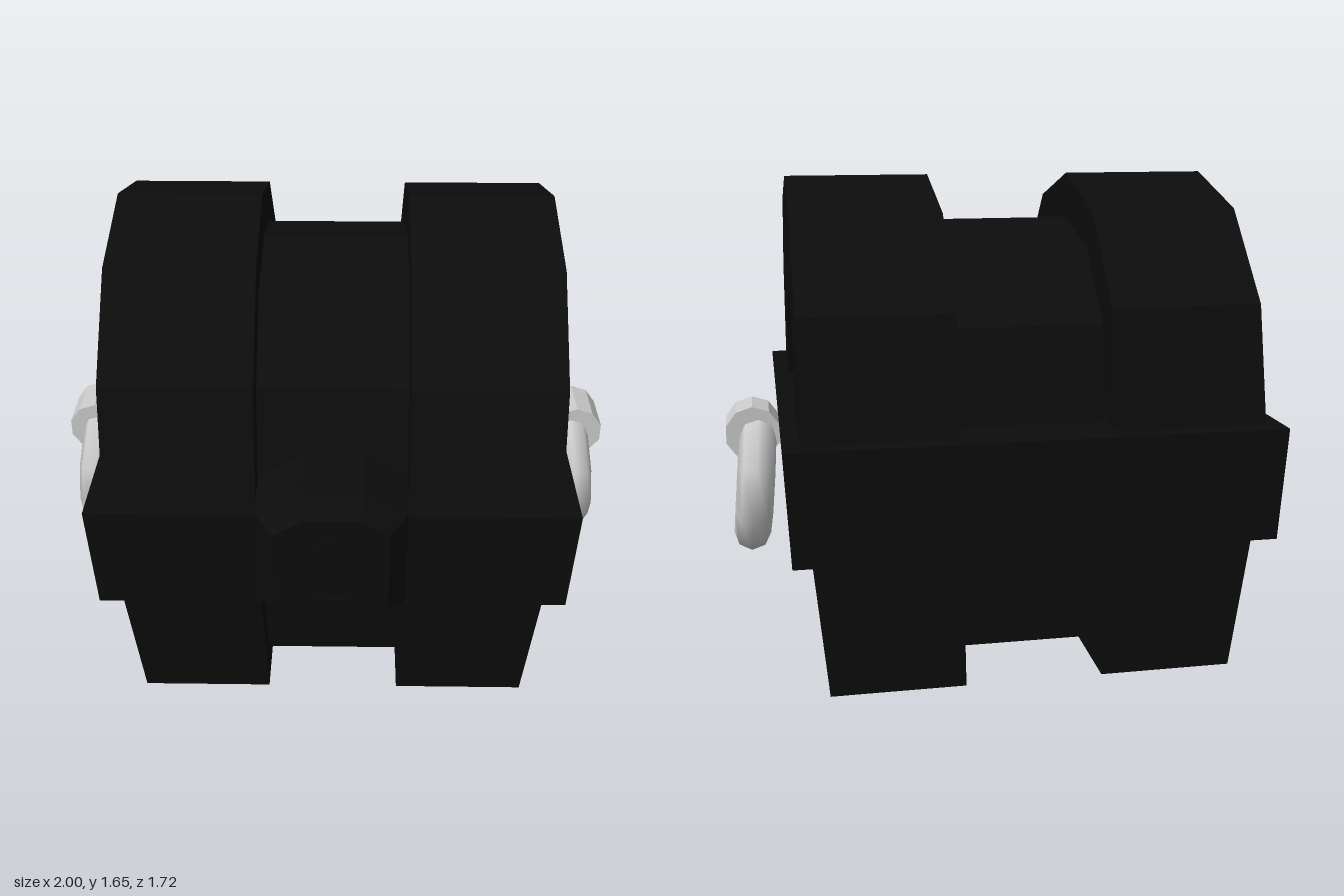
import * as THREE from 'three';

const dark = new THREE.MeshStandardMaterial({ color: 0x0c0c0c, flatShading: true });
const grey = new THREE.MeshStandardMaterial({ color: 0xcccccc });
const greyFlat = new THREE.MeshStandardMaterial({ color: 0xcccccc, flatShading: true });

function add(parent, name, geometry, material) {
  const mesh = new THREE.Mesh(geometry, material);
  mesh.name = name;
  parent.add(mesh);
  return mesh;
}

// Box between two corners, narrowed towards the chest's vertical axis:
// full size at yTop, scaled by `bottom` at yBottom.
function taperedBox([x0, x1], [y0, y1], [z0, z1], yBottom, yTop, bottom) {
  const g = new THREE.BoxGeometry(x1 - x0, y1 - y0, z1 - z0);
  g.translate((x0 + x1) / 2, (y0 + y1) / 2, (z0 + z1) / 2);
  const p = g.attributes.position;
  for (let i = 0; i < p.count; i++) {
    const s = THREE.MathUtils.mapLinear(p.getY(i), yBottom, yTop, bottom, 1);
    p.setX(i, p.getX(i) * s);
    p.setZ(i, p.getZ(i) * s);
  }
  g.computeVertexNormals();
  return g;
}

// Mirrors half an arch [z, y] (foot to crown) into a full one
function arch(half) {
  const mirrored = half.slice(0, -1).reverse().map(([z, y]) => [-z, y]);
  return [...half, ...mirrored].map(([z, y]) => new THREE.Vector2(z, y));
}

// Extrudes a side profile along x, from x0 to x1
function extrudeAlongX(points, x0, x1) {
  const g = new THREE.ExtrudeGeometry(new THREE.Shape(points), { depth: x1 - x0, bevelEnabled: false });
  return g.rotateY(Math.PI / 2).translate(x0, 0, 0);
}

function buildBase(chest) {
  add(chest, 'baseBody', taperedBox([-0.62, 0.62], [0.1, 0.5], [-0.62, 0.62], 0, 0.49, 0.935), dark);
  for (const sx of [-1, 1]) for (const sz of [-1, 1]) {
    const xs = sx > 0 ? [0.25, 0.735] : [-0.735, -0.25];
    const zs = sz > 0 ? [0.37, 0.735] : [-0.735, -0.37];
    add(chest, 'cornerLeg', taperedBox(xs, [0, 0.5], zs, 0, 0.49, 0.935), dark);
  }
  add(chest, 'rimBand', taperedBox([-0.817, 0.817], [0.49, 0.873], [-0.815, 0.815], 0.49, 0.873, 0.977), dark);
}

function buildLid(chest) {
  const outer = arch([[0.755, 0.86], [0.66, 1.26], [0.38, 1.55], [0, 1.655]]);
  const middle = arch([[0.62, 0.86], [0.54, 1.19], [0.31, 1.42], [0, 1.495]]);
  const inner = arch([[0.37, 0.86], [0.325, 1.06], [0.19, 1.2], [0, 1.26]]);
  add(chest, 'lidCore', extrudeAlongX(middle, -0.62, 0.62), dark);
  const ring = [...outer, ...inner.slice().reverse()];
  add(chest, 'lidArchLeft', extrudeAlongX(ring, 0.255, 0.76), dark);
  add(chest, 'lidArchRight', extrudeAlongX(ring, -0.76, -0.255), dark);
}

function buildLock(chest) {
  // Plate outline with bowed top and bottom; the bevel grows it outwards
  const plate = new THREE.Shape([
    [-0.19, -0.16], [-0.09, -0.205], [0.09, -0.205], [0.19, -0.16],
    [0.19, 0.15], [0.09, 0.21], [-0.09, 0.21], [-0.19, 0.15],
  ].map(([x, y]) => new THREE.Vector2(x, y)));
  // Keyhole: round top with a flared slot
  const keyhole = new THREE.Path();
  keyhole.moveTo(-0.06, -0.12);
  keyhole.lineTo(0.06, -0.12);
  keyhole.lineTo(0.035, 0.02);
  keyhole.absarc(0, 0.06, 0.053, -0.85, Math.PI + 0.85, false);
  keyhole.closePath();
  const solid = new THREE.ExtrudeGeometry(plate, {
    depth: 0.2, bevelThickness: 0.07, bevelSize: 0.06, bevelSegments: 1,
  });
  const lock = new THREE.Group();
  lock.name = 'lock';
  lock.position.set(0, 0.705, 0.89);
  lock.rotation.x = 0.05;
  chest.add(lock);
  add(lock, 'lockPlate', solid.translate(0, 0, -0.27), dark);
  // Thin raised rim around the keyhole
  const rim = new THREE.Shape(keyhole.getPoints(6).map((p) => p.clone().multiplyScalar(1.2)));
  rim.holes.push(keyhole);
  add(lock, 'keyholeRim', new THREE.ExtrudeGeometry(rim, { depth: 0.006, bevelEnabled: false, curveSegments: 6 }), dark);
}

function buildHandles(chest) {
  for (const side of [-1, 1]) {
    const handle = new THREE.Group();
    handle.name = side > 0 ? 'leftHandle' : 'rightHandle';
    handle.position.set(side * 0.905, 0.745, 0.012);
    chest.add(handle);

    const clip = new THREE.CylinderGeometry(0.1, 0.1, 0.172, 10).rotateX(Math.PI / 2);
    add(handle, 'handleClip', clip, greyFlat);

    // Octagonal ring hanging from the clip, its bottom swung outwards
    const ring = new THREE.TorusGeometry(0.197, 0.066, 8, 8)
      .rotateZ(Math.PI / 8).rotateY(Math.PI / 2);
    const mesh = add(handle, 'handleRing', ring, grey);
    mesh.position.set(0, -0.19, 0);
    mesh.rotation.z = side * 0.09;
  }
}

export function createModel() {
  const model = new THREE.Group();
  model.name = 'treasureChest';
  const chest = new THREE.Group();
  chest.name = 'chest';
  chest.position.z = -0.04; // the lock sticks out in front
  model.add(chest);
  buildBase(chest);
  buildLid(chest);
  buildLock(chest);
  buildHandles(chest);
  return model;
}
